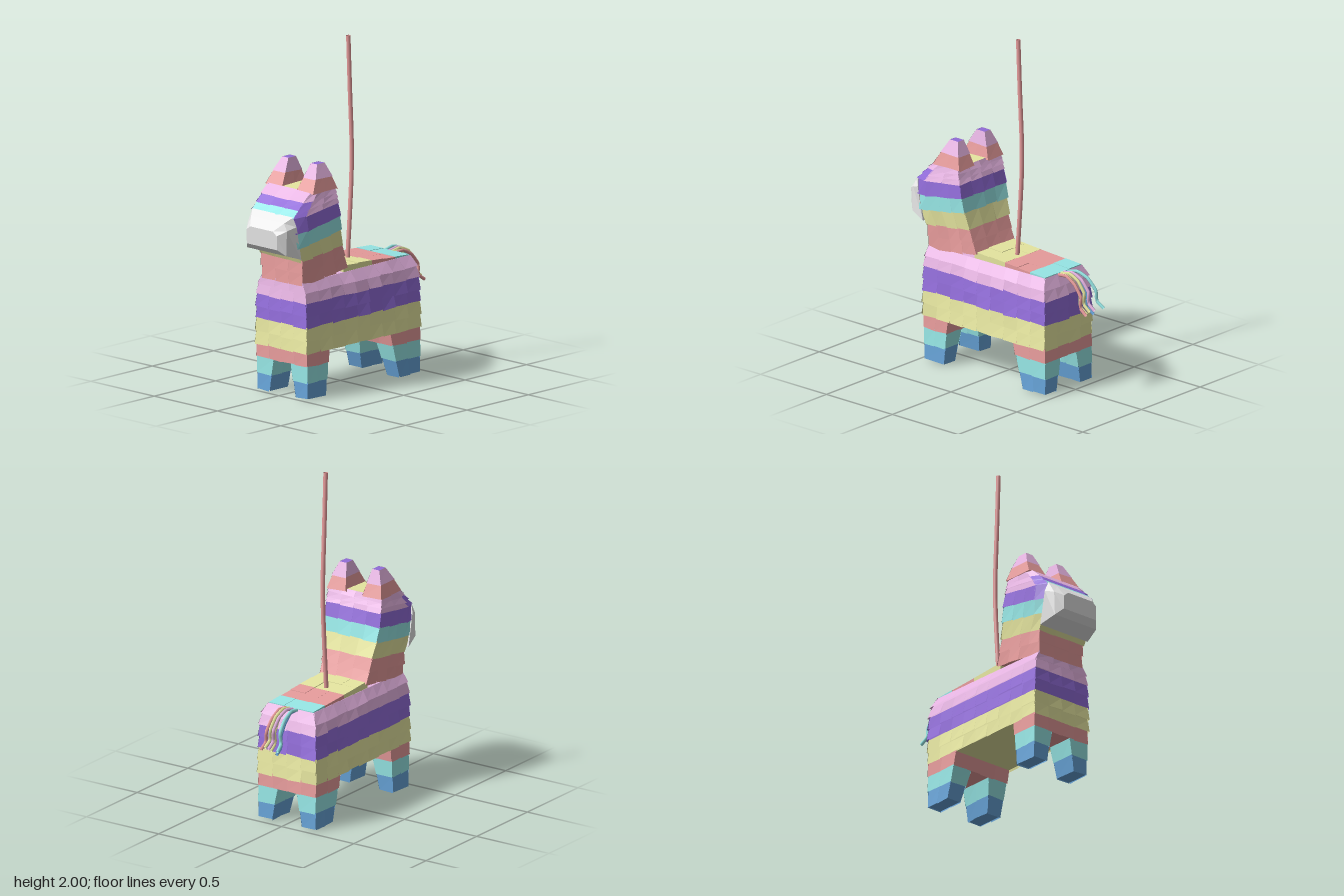
import * as THREE from 'three';

const paint = (name, color) => {
  const m = new THREE.MeshStandardMaterial({ color, side: THREE.DoubleSide });
  m.name = name;
  return m;
};
const pink = paint('pink', 0xe6b4e2), purple = paint('purple', 0x916cd8), yellow = paint('yellow', 0xe6e6a0);
const coral = paint('coral', 0xeda0a0), cyan = paint('cyan', 0x9aeceb), blue = paint('blue', 0x68a5da);
const grey = paint('grey', 0xeeeeee);

// Seeded jitter for the paper tiles
let seed = 7;
const rnd = () => (seed = (seed * 16807) % 2147483647) / 2147483647;

// A ring is [xl, yl, xr, yr, z0, z1]: a rectangle that may be tilted in the xy plane.
// A seventh value narrows the left end to that half width with two chamfers.
function corners([xl, yl, xr, yr, z0, z1, zf]) {
  const v = (x, y, z) => new THREE.Vector3(x, y, z);
  if (zf === undefined) return [v(xl, yl, z1), v(xr, yr, z1), v(xr, yr, z0), v(xl, yl, z0)];
  const cx = xl + (xr - xl) * 0.22, cy = yl + (yr - yl) * 0.22;
  return [v(xl, yl, zf), v(cx, cy, z1), v(xr, yr, z1), v(xr, yr, z0), v(cx, cy, z0), v(xl, yl, -zf)];
}

// Each polygon is a convex list of corners, drawn as a fan
function polyMesh(name, polygons, material) {
  const pos = [];
  for (const p of polygons) for (let i = 1; i < p.length - 1; i++) {
    for (const q of [p[0], p[i], p[i + 1]]) pos.push(q.x, q.y, q.z);
  }
  const geo = new THREE.BufferGeometry();
  geo.setAttribute('position', new THREE.Float32BufferAttribute(pos, 3));
  geo.computeVertexNormals();
  const mesh = new THREE.Mesh(geo, material);
  mesh.name = name;
  return mesh;
}

// Shingle one flat side with slightly flared, jittered paper tiles
function shingle(polygons, a, b, c, d, flare) {
  const normal = b.clone().sub(a).cross(d.clone().sub(a)).normalize();
  const at = (u, v, out) => a.clone().lerp(b, u).lerp(d.clone().lerp(c, u), v).addScaledVector(normal, out);
  const width = (a.distanceTo(b) + c.distanceTo(d)) / 2, height = (a.distanceTo(d) + b.distanceTo(c)) / 2;
  const cols = Math.max(1, Math.round(width / 0.1)), rows = Math.max(1, Math.round(height / 0.075));
  const over = flare * 0.5 / width;
  for (let r = 0; r < rows; r++) for (let k = 0; k < cols; k++) {
    const u0 = k ? k / cols : -over, u1 = k < cols - 1 ? (k + 1) / cols : 1 + over;
    const v0 = r / rows, v1 = (r + 1) / rows, out = flare * (0.4 + 0.9 * rnd());
    const sag = () => v0 - rnd() * 0.008 / height;
    polygons.push([at(u0, sag(), out), at(u1, sag(), out + flare * 0.4 * rnd()), at(u1, v1, 0.001), at(u0, v1, 0.001)]);
  }
}

// Loft through rings with end caps and paper shingles.
// Each band has one colour, or [side, front, chamfer] to colour the left end separately.
function stack(name, rings, colours, { flare = 0.01, bottom = colours[0], top = colours.at(-1) } = {}) {
  const group = new THREE.Group();
  group.name = name;
  const loops = rings.map(corners);
  colours.forEach((colour, n) => {
    const lo = loops[n], hi = loops[n + 1], count = lo.length;
    const [side, front = side, chamfer = front] = [colour].flat();
    const polygons = new Map([[side, []], [front, []], [chamfer, []]]);
    for (let i = 0; i < count; i++) {
      const j = (i + 1) % count, q = [lo[i], lo[j], hi[j], hi[i]];
      const list = polygons.get(i === count - 1 ? front : i === 0 || i === count - 2 ? chamfer : side);
      list.push(q);
      if (flare) shingle(list, ...q, flare);
    }
    for (const [material, list] of polygons) group.add(polyMesh(`${name}Band${n + 1}`, list, material));
  });
  group.add(polyMesh(`${name}Bottom`, [[...loops[0]].reverse()], bottom));
  group.add(polyMesh(`${name}Top`, [loops.at(-1)], top));
  return group;
}

function strand(name, points, radius, sides, material) {
  const curve = new THREE.CatmullRomCurve3(points.map(p => new THREE.Vector3(...p)), false, 'catmullrom', 0.15);
  const mesh = new THREE.Mesh(new THREE.TubeGeometry(curve, 14, radius, sides), material);
  mesh.name = name;
  return mesh;
}

export function createModel() {
  seed = 7;
  const model = new THREE.Group();
  model.name = 'pinata';

  // Body
  model.add(stack('body', [
    [-0.475, 0.27, 0.44, 0.27, -0.197, 0.197], [-0.475, 0.42, 0.44, 0.42, -0.195, 0.195],
    [-0.475, 0.56, 0.435, 0.56, -0.19, 0.19], [-0.47, 0.62, 0.425, 0.62, -0.182, 0.182],
    [-0.47, 0.675, 0.405, 0.683, -0.155, 0.155],
  ], [yellow, purple, pink, pink], { flare: 0.011 }));

  // Back: tiled strips sloping down towards the tail
  const backY = x => 0.716 - (x + 0.12) * 0.06;
  for (const [x0, x1, cols, material] of [[-0.13, 0.1, 2, yellow], [0.1, 0.29, 2, coral], [0.29, 0.405, 1, cyan]]) {
    const step = (x1 - x0) / cols;
    for (let c = 0; c < cols; c++) for (let k = 0; k < 3; k++) {
      const a = x0 + c * step, b = a + step, z0 = -0.153 + k * 0.102, lift = rnd() * 0.005;
      model.add(stack('backTile', [
        [a, 0.665, b, 0.665, z0, z0 + 0.102],
        [a, backY(a) + lift, b, backY(b) + lift, z0, z0 + 0.102]], [material], { flare: 0 }));
    }
  }

  // Legs: a coral slab across each pair, then two tapered legs
  const pairs = [
    ['frontLeg', [[-0.465, -0.325], [-0.468, -0.315], [-0.472, -0.305], [-0.474, -0.293]]],
    ['hindLeg', [[0.28, 0.442], [0.252, 0.443], [0.225, 0.443], [0.202, 0.441]]]];
  const heights = [0.005, 0.1, 0.195], inner = [0.105, 0.088, 0.068], outer = [0.194, 0.195, 0.196];
  for (const [name, x] of pairs) {
    model.add(stack(`${name}Joint`, [
      [x[2][0], 0.195, x[2][1], 0.195, -0.196, 0.196], [x[3][0], 0.275, x[3][1], 0.275, -0.197, 0.197]],
    [coral], { flare: 0.006 }));
    for (const side of [1, -1]) {
      const rings = heights.map((y, i) => {
        const z = [side * inner[i], side * outer[i]].sort((p, q) => p - q);
        return [x[i][0], y, x[i][1], y, ...z];
      });
      model.add(stack(name, rings, [blue, cyan], { flare: 0.006 }));
    }
  }

  // Neck and head in tilted bands, with stripes on the sloping face
  model.add(stack('neckAndHead', [
    [-0.465, 0.66, -0.115, 0.705, -0.156, 0.156, 0.154], [-0.475, 0.805, -0.16, 0.85, -0.164, 0.164, 0.16],
    [-0.525, 0.89, -0.185, 0.945, -0.178, 0.178, 0.168], [-0.538, 0.975, -0.2, 1.03, -0.187, 0.187, 0.168],
    [-0.545, 1.065, -0.215, 1.11, -0.185, 0.185, 0.16], [-0.508, 1.103, -0.222, 1.138, -0.183, 0.183, 0.16],
    [-0.468, 1.143, -0.228, 1.168, -0.181, 0.181, 0.163], [-0.41, 1.195, -0.235, 1.2, -0.177, 0.177, 0.166],
  ], [coral, yellow, cyan, purple, [pink, cyan, purple], [pink, purple], pink], { flare: 0.009, top: yellow }));

  // Muzzle, from the nose tip back to the face
  model.add(stack('muzzle', [
    [-0.642, 0.995, -0.637, 0.89, -0.12, 0.12, 0.09], [-0.592, 1.04, -0.6, 0.855, -0.155, 0.155, 0.13],
    [-0.55, 1.073, -0.5, 0.82, -0.178, 0.178, 0.16]], [grey, grey], { flare: 0 }));

  // Ears
  for (const side of [1, -1]) {
    const ring = (xl, xr, y, a, b) => [xl, y, xr, y, ...[side * a, side * b].sort((p, q) => p - q)];
    model.add(stack('ear', [
      ring(-0.41, -0.22, 1.19, 0.062, 0.184), ring(-0.37, -0.243, 1.265, 0.075, 0.165),
      ring(-0.33, -0.27, 1.34, 0.09, 0.136)], [coral, pink], { flare: 0.004, top: purple }));
  }

  // Hanging rope
  model.add(strand('rope', [[0.058, 0.69, 0], [0.077, 0.95, 0], [0.092, 1.2, 0], [0.092, 1.4, 0],
    [0.078, 1.68, 0], [0.065, 2, 0]], 0.013, 12, coral));

  // Tail of paper strands: [colour, root z, tip z, x shift, y shift]
  [[cyan, -0.04, -0.073, 0.02, 0.012], [blue, -0.03, -0.037, -0.025, -0.025], [pink, -0.01, -0.005, 0.01, 0.012],
    [yellow, 0.012, 0.026, 0, 0.012], [yellow, 0.022, 0.01, -0.035, -0.015], [coral, 0.038, 0.055, 0, -0.005],
  ].forEach(([material, z0, z1, dx, dy]) => {
    const path = [[0.39, 0.675], [0.47, 0.685], [0.535, 0.65], [0.585, 0.585], [0.58, 0.525], [0.628, 0.49]];
    const points = path.map(([x, y], i) => [
      x + dx * Math.min(1, i / 3), y + dy * Math.min(1, i / 2), z0 + (z1 - z0) * i / 5]);
    model.add(strand('tailStrand', points, 0.01, 5, material));
  });

  return model;
}
